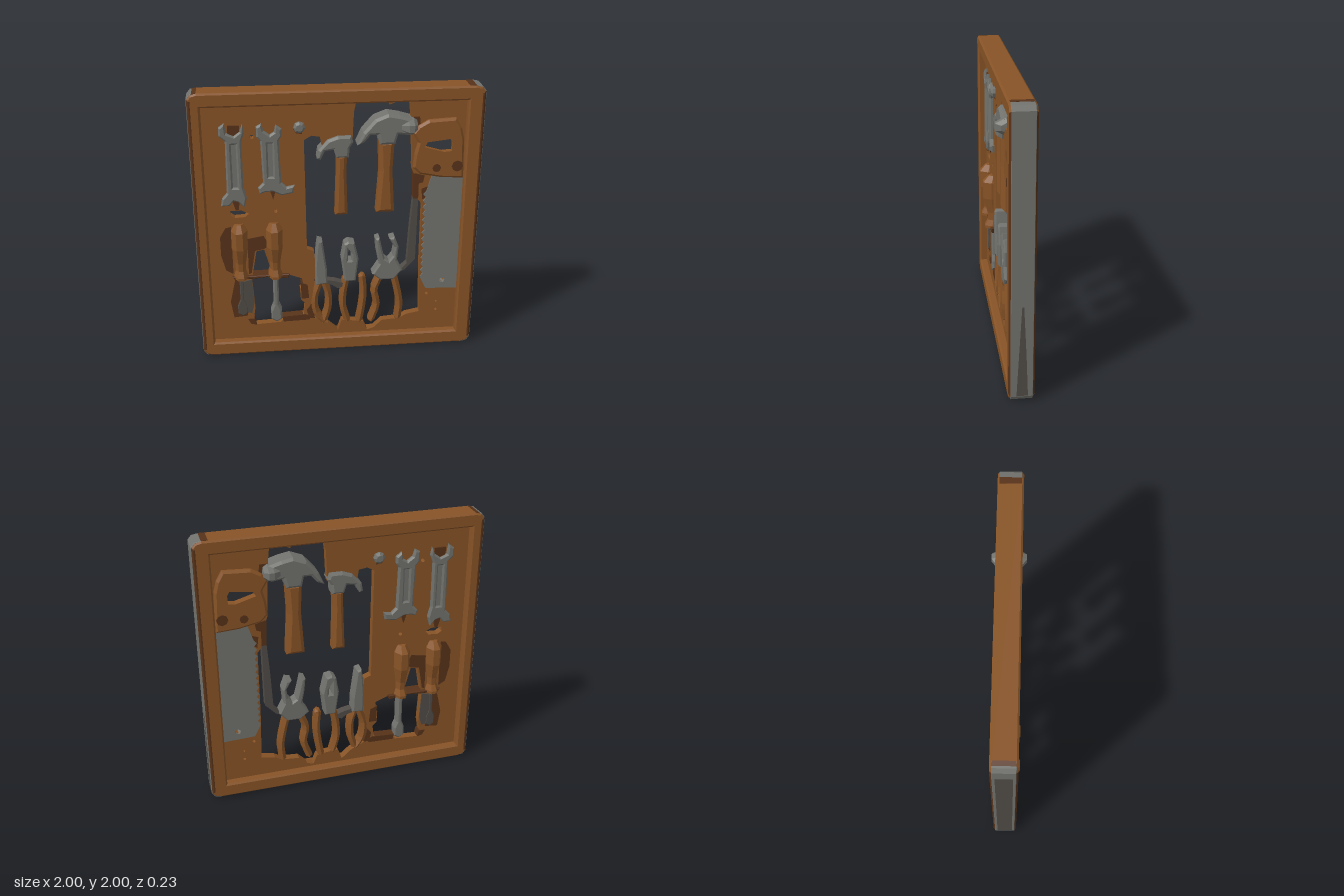
import * as THREE from 'three';

const mat = (name, color) => new THREE.MeshStandardMaterial({ name, color });

// Flat [x, y, x, y, ...] outlines in hundredths of a unit
const toPoints = (a) => {
  const pts = [];
  for (let i = 0; i < a.length; i += 2) pts.push(new THREE.Vector2(a[i] / 100, a[i + 1] / 100));
  return pts;
};
const dot = (x, y, r, n = 8) => {
  const a = [];
  for (let i = 0; i < n; i++) {
    const t = (i / n) * Math.PI * 2;
    a.push(x + r * Math.cos(t), y + r * Math.sin(t));
  }
  return a;
};
// Faceted solid of revolution about y
const facetedLathe = (profile) => {
  const geo = new THREE.LatheGeometry(profile.map(([r, y]) => new THREE.Vector2(r, y)), 8, Math.PI / 8).toNonIndexed();
  geo.computeVertexNormals();
  return geo;
};

export function createModel() {
  const brown = mat('brown wood', 0x875326);
  const steel = mat('grey steel', 0x71726d);
  const darkBrown = mat('dark brown', 0x573219);
  const darkGrey = mat('dark grey', 0x504b46);
  const model = new THREE.Group();
  model.name = 'toolBoard';

  const add = (name, geo, material, parent = model) => {
    const m = new THREE.Mesh(geo, material);
    m.name = name;
    parent.add(m);
    return m;
  };
  // Chamfered slab, half thickness t, centred on z = 0
  const slab = (name, outline, t, material, bevel = 0, holes = [], parent = model) => {
    const shape = new THREE.Shape(toPoints(outline));
    holes.forEach((h) => shape.holes.push(new THREE.Path(toPoints(h))));
    const geo = new THREE.ExtrudeGeometry(shape, {
      depth: 2 * (t - bevel), bevelEnabled: bevel > 0, bevelSize: bevel,
      bevelThickness: bevel, bevelOffset: -bevel, bevelSegments: 1,
    });
    geo.translate(0, 0, bevel - t);
    return add(name, geo, material, parent);
  };
  const group = (name) => {
    const g = new THREE.Group();
    g.name = name;
    model.add(g);
    return g;
  };

  // Frame with chamfered corners
  slab('frame',
    [-93, 199.8, 93, 199.8, 97, 198.8, 99.3, 196, 99.3, 4.6, 97, 1.6, 93, 0.6, -93, 0.6, -97, 1.6, -99.3, 4.6,
      -99.3, 196, -97, 198.8],
    0.085, brown, 0.012, [[-91, 11, 88, 11, 88, 190, -91, 190]]);
  // Steel side caps, dark wood at their borders and along the upright edges
  for (const [s, side, inner, stainEnd] of [[1, 'left', 92.5, 88.5], [-1, 'right', 96, 93]]) {
    const mirror = (a) => a.map((v, i) => (i % 2 ? v : v * s));
    slab(side + 'SideCap', mirror([inner, 198, inner, 200 - (inner - 92.5) * 0.2, 97.3, 199.1, 99.7, 196.1, 99.7, 4.5,
      97.3, 1.2, inner, 0.2 + (inner - 92.5) * 0.2, inner, 3, 97, 5, 98, 7, 98, 194, 97, 196]), 0.074, steel, 0.003);
    slab(side + 'RailStain', mirror([stainEnd, 197, inner, 197, inner, 199.3, 93, 200, stainEnd, 200]), 0.072, darkBrown);
    slab(side + 'EdgeStain', mirror([96, 196, 99.4, 196, 99.4, 4.6, 96, 4.6]), 0.0858, darkBrown, 0.0122);
  }
  // Tapering worn patch on the left side, full-length one on the right
  const taper = new THREE.ExtrudeGeometry(
    new THREE.Shape(toPoints([-3.5, 5, 4, 5, 2.8, 35, 1, 70, -0.2, 70, -2, 35])), { depth: 0.004, bevelEnabled: false });
  taper.rotateY(Math.PI / 2);
  add('leftSideWear', taper, darkGrey).position.set(0.995, 0, 0);
  add('rightSideWear', new THREE.BoxGeometry(0.004, 1.75, 0.11), darkGrey).position.set(-0.997, 0.95, 0);

  // Backing panel with cut-outs
  const bigCut = [12.5, 190, 34, 190, 35, 187, 41, 189.5, 49, 189, 50, 180, 51, 167, 52, 140, 56, 129, 56, 118,
    60, 113, 60, 65, 61, 26, 51, 24, 46, 21, 33, 20, 27, 14, 22, 12.5, 19, 20, 3, 22, 0, 13, -7, 19.5,
    -18, 25, -20, 36, -17, 54, -16, 68, -17, 80, -22, 82, -23, 164, -18, 167, -12, 166, -11, 160, 10, 160, 11, 183];
  const driverCut = [-58, 82, -52.5, 83, -49, 70, -48, 65, -35, 62, -26, 58.5, -25, 53, -27.5, 50, -27, 41,
    -24, 38, -25, 28.5, -39, 26.5, -42, 23, -60, 22, -62, 26.5, -60.5, 35.5, -62, 60, -61, 65];
  const sawGrip = [57.5, 156, 60.5, 162, 78, 164, 80.3, 160, 80, 152, 73, 151.5];
  const notch = [-75, 114, -67, 114, -62, 111.5, -65, 109, -72, 108.5, -75, 110.5];
  const screwHole = dot(77, 52, 2);
  slab('backPanel', [-93, 9, 90, 9, 90, 192, -93, 192], 0.028, brown, 0,
    [bigCut, driverCut, sawGrip, notch, screwHole, dot(-58, 167.5, 1.5), dot(-43.5, 112.5, 1.4),
      dot(-23.5, 45.5, 1.8), dot(66, 41, 1.2), dot(73.5, 34, 0.8), dot(73.5, 27, 1.1)]);

  // Stains showing on both faces of the panel
  const stain = (o) => slab('panelStain', o, 0.031, darkBrown);
  stain([-83, 94, -79, 101, -75, 102, -75, 65, -80, 68, -83, 80]);
  stain([-64, 92, -52.5, 94, -49, 86, -53, 83.5, -59, 82.5, -62, 65, -64, 64]);
  stain([-78, 42, -74, 60, -70, 60, -66, 30, -76, 29]);
  stain([-30, 172, -25, 172, -24, 168.5, -28, 169]);
  stain([51, 178, 56, 178, 57, 170, 51.5, 168]);
  stain([-27, 55, -22, 53, -21, 42, -26.5, 42]);
  stain([-20, 36, -17, 25, -21, 25, -23, 32]);

  // Two open-ended wrenches with a groove in each shank
  const wrench = (name, outline, x, y0, y1) => {
    const g = group(name);
    slab('wrenchBody', outline, 0.055, steel, 0.012, [[x - 1.6, y0, x + 1.6, y0, x + 1.6, y1, x - 1.6, y1]], g);
    slab('wrenchGroove', [x - 2.5, y0 - 1, x + 2.5, y0 - 1, x + 2.5, y1 + 1, x - 2.5, y1 + 1], 0.042, steel, 0, [], g);
  };
  wrench('outerWrench', [-80, 175, -76, 178, -75, 171, -70, 169, -66, 172, -64, 177, -63, 171, -65, 165.5,
    -65, 132, -63, 124, -65, 117, -69, 121, -72, 122, -75, 118.5, -81, 118.5, -80, 124, -76.5, 128,
    -76, 165.5, -80, 169], -70.5, 132, 163);
  wrench('innerWrench', [-55, 175, -51.5, 177, -50, 172, -46, 169, -43, 171, -42, 176, -38, 173, -38, 168, -40, 165,
    -39, 134.5, -35.5, 131, -30, 132, -31, 126.5, -39, 125, -45, 128, -50, 128, -54, 126.5, -55, 131,
    -51.5, 134.5, -52.5, 165, -55, 168], -46, 139, 163);
  slab('wrenchPeg', [-73, 122, -68, 122, -69, 115, -71, 115], 0.045, darkBrown);
  slab('wrenchPeg', [-47, 129, -43, 129, -45, 122], 0.045, darkBrown);
  slab('wrenchPeg', [-74, 176, -66, 176, -66, 171, -70, 168, -74, 171], 0.04, darkBrown);
  slab('hook', dot(-26, 173.5, 4), 0.06, steel, 0.015);

  // Screwdrivers: faceted handles, flattened tips
  const handle = facetedLathe([[0, 0.61], [0.054, 0.615], [0.054, 0.635], [0.04, 0.68], [0.042, 0.74], [0.062, 0.86],
    [0.062, 0.99], [0.035, 1.04], [0, 1.04]]);
  [[-69.5, 'outerScrewdriver', 6, darkGrey], [-45, 'innerScrewdriver', 0, steel]].forEach(([c, name, lift, metal]) => {
    const g = group(name);
    const h = add('screwdriverHandle', handle, brown, g);
    h.scale.z = 1.75;
    h.position.x = c / 100;
    slab('screwdriverShaft', [c - 2, 62, c + 2, 62, c + 2, 38 + lift, c + 4, 33 + lift, c + 4, 26 + lift, c, 23.5 + lift,
      c - 4, 26 + lift, c - 4, 33 + lift, c - 2, 38 + lift], 0.038, metal, 0.012, [], g);
  });
  slab('screwdriverRest', [-76, 63, -35, 63.5, -36, 60, -50, 62, -60, 61, -74, 60.5], 0.05, darkBrown, 0.006);
  slab('wornBlade', [-69, 58, -62, 60, -61, 40, -63, 32, -68, 34], 0.035, darkGrey);
  slab('lowerBracket', [-41, 27.5, -24, 28.5, -20, 27, -21, 24, -40, 23.5], 0.034, darkBrown);
  slab('lowerBracket', [-66, 27, -61, 27, -60, 22, -64, 23], 0.034, darkBrown);

  // Claw hammers
  slab('smallHammerHandle', [-1, 153, 6.5, 153, 6, 140, 7, 108, -2, 108, -1, 140], 0.05, brown, 0.022);
  slab('smallHammerHead', [-14.5, 151, -13.5, 157, -7, 164, 0, 166.5, 9, 166.5, 10.5, 162, 8, 158, 7.5, 151,
    -1, 151, -3, 157, -9, 156, -12, 150], 0.06, steel, 0.016);
  slab('bigHammerHandle', [28, 162, 39, 162, 38, 140, 40, 109, 27, 109, 29, 140], 0.06, brown, 0.026);
  slab('bigHammerHead', [13, 160, 17, 169, 25, 178, 34, 181.5, 42, 180, 52, 177, 53, 169, 49, 166, 41, 167,
    39, 160, 28.5, 160, 27, 167, 22, 167, 18, 162], 0.075, steel, 0.018);
  const face = facetedLathe([[0, -0.07], [0.085, -0.065], [0.125, -0.018], [0.125, 0.018], [0.085, 0.045], [0, 0.05]]);
  face.rotateZ(-Math.PI / 2);
  const knob = add('bigHammerFace', face, steel);
  knob.scale.y = 0.5;
  knob.position.set(0.495, 1.72, 0);

  // Hand saw: wooden grip with pins, toothed blade
  slab('sawHandle', [51, 167, 55, 172, 62, 176, 81, 177, 85, 170, 87, 162, 88, 133, 72, 134, 57, 137, 52, 142, 53, 152,
    55, 160], 0.06, brown, 0.016, [sawGrip]);
  for (const [x, y, r] of [[68.5, 141.5, 3], [83, 142.5, 4]]) slab('sawPin', dot(x, y, r), 0.064, darkBrown);
  const blade = [66, 135, 88, 134, 88, 45, 65, 46, 61, 54];
  for (let y = 56; y < 122; y += 5) blade.push(60.5, y, 62.5, y + 2.5);
  slab('sawBlade', blade, 0.038, steel, 0, [screwHole]);
  slab('bladeMount', [55, 137, 66, 135, 65, 122, 60, 113, 56, 120], 0.028, brown);
  stain([54, 137, 61, 135, 60, 130, 56, 129]);
  stain([59, 125, 64, 127, 63, 119, 60, 117]);
  slab('strapTop', [53, 137, 57, 136, 57, 118, 53.5, 118], 0.03, darkBrown);
  slab('steelStrip', [53.5, 118, 57, 118, 56.5, 70, 49, 62, 43, 59, 50.5, 67, 52, 97], 0.03, darkGrey);

  // Pliers: steel jaws and curved wooden grips
  const grip = (pts, parent) => {
    const curve = new THREE.CatmullRomCurve3(toPoints(pts).map((p) => new THREE.Vector3(p.x, p.y, 0)));
    const geo = new THREE.TubeGeometry(curve, 8, 0.029, 6).toNonIndexed();
    geo.computeVertexNormals();
    add('plierGrip', geo, brown, parent).scale.z = 1.5;
    // Closed ends
    for (const t of [0, 1]) {
      const tip = add('gripEnd', new THREE.IcosahedronGeometry(0.029, 0), brown, parent);
      tip.position.copy(curve.getPoint(t));
      tip.scale.z = 1.5;
    }
  };
  const pliers = (name, jaw, holes, left, right) => {
    const g = group(name);
    slab('plierJaws', jaw, 0.05, steel, 0.012, holes, g);
    grip(left, g);
    grip(right, g);
  };
  pliers('needlePliers', [-14.5, 89, -11, 88, -8, 66, -7.5, 54, -16, 53, -16.5, 68, -15.5, 82], [],
    [-13, 55, -17, 42, -15.5, 29, -11, 22], [-10, 55, -7, 45, -7, 33, -10, 23]);
  pliers('flatPliers', [4.5, 85, 7.5, 87, 12, 86, 15, 73, 13, 55, 5, 55, 2.5, 73], [[7.5, 72, 10, 72, 10, 83, 7.5, 83]],
    [6, 56, 4, 44, 4, 33, 7, 22], [18, 57, 19, 45, 18, 33, 16, 21]);
  pliers('pincers', [27, 88, 30, 89, 32, 80, 34, 72, 37, 70, 40, 74, 41, 81, 37, 88, 41, 89, 44, 81, 43, 70, 47, 62,
    41, 55, 31, 55, 25, 60, 30, 68, 28, 78], [],
    [31, 57, 27, 46, 29, 34, 25, 21], [41, 58, 44, 46, 46, 34, 45, 22]);
  slab('plierLink', [-8, 56, -2, 55, 4, 53, 4, 50, 0, 49, -4, 52, -8, 53], 0.03, darkGrey);

  return model;
}
